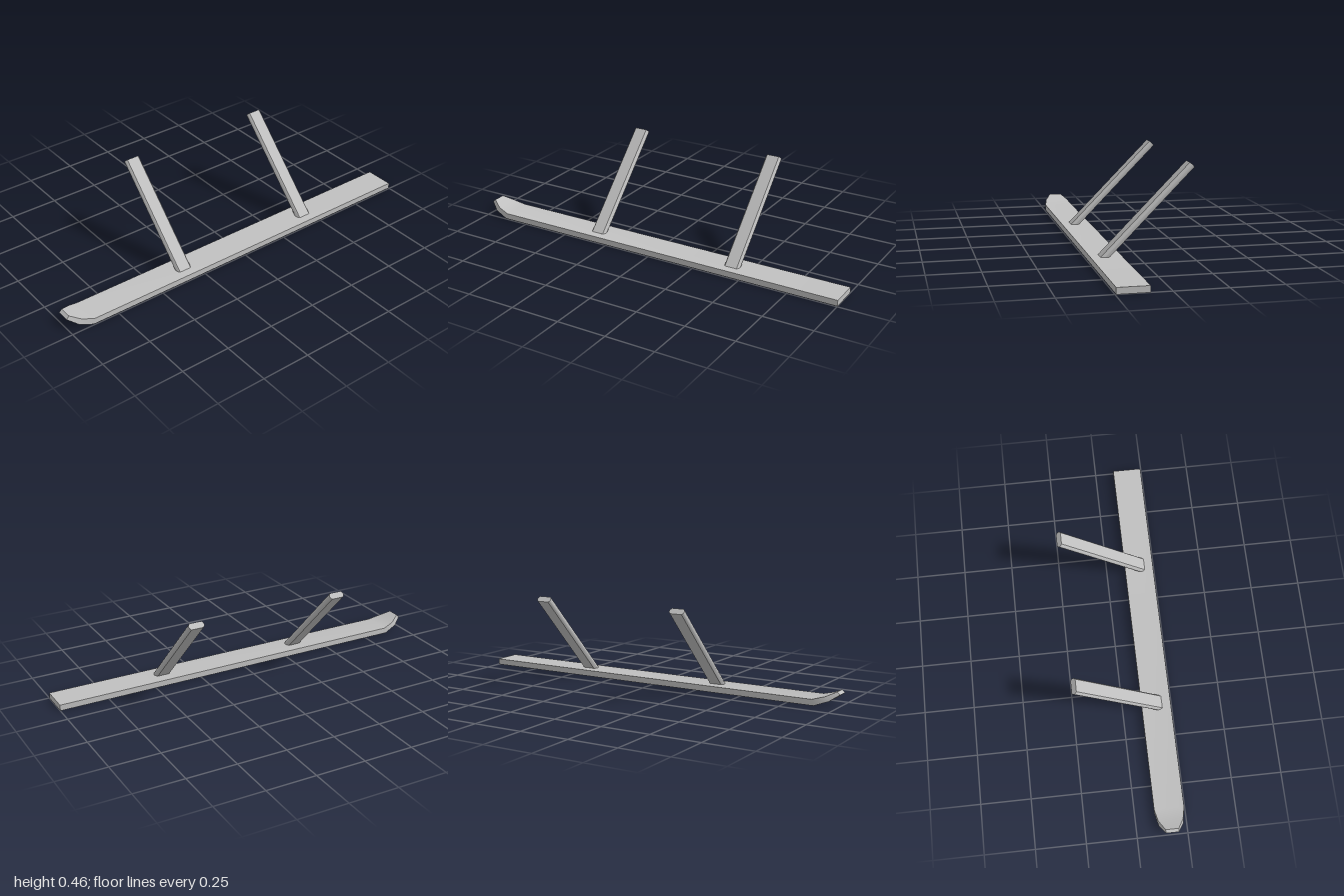
import * as THREE from 'three';
import { toCreasedNormals } from 'three/addons/utils/BufferGeometryUtils.js';

const SKI_X = 0.171;

// Runner: rectangular sections lofted from the tail to the upturned tip
function runnerGeometry() {
  // [half width, bottom y, bottom z, top y, top z]
  const sections = [
    [0.074, 0, -1, 0.03, -1],
    [0.074, 0, 0.885, 0.03, 0.875],
    [0.061, 0.026, 0.955, 0.047, 0.935],
    [0.032, 0.057, 1, 0.071, 0.985],
  ];
  const points = [];
  for (const [h, yb, zb, yt, zt] of sections) {
    points.push(-h, yb, zb, h, yb, zb, h, yt, zt, -h, yt, zt);
  }
  const index = [];
  const last = (sections.length - 1) * 4;
  for (let i = 0; i < last; i += 4) {
    for (let k = 0; k < 4; k++) {
      const n = (k + 1) % 4;
      index.push(i + k, i + n, i + 4 + n, i + k, i + 4 + n, i + 4 + k);
    }
  }
  index.push(0, 2, 1, 0, 3, 2); // tail end
  index.push(last, last + 1, last + 2, last, last + 2, last + 3); // tip end
  const geometry = new THREE.BufferGeometry();
  geometry.setAttribute('position', new THREE.Float32BufferAttribute(points, 3));
  geometry.setIndex(index);
  return toCreasedNormals(geometry, 0.65);
}

// Strut: flat bar with rounded narrow sides, leaning out of the runner
function strutGeometry() {
  const foot = new THREE.Vector3(0.189, 0.019, 0);
  const head = new THREE.Vector3(-0.2345, 0.448, 0);
  const w = 0.031, t = 0.016, bulge = 0.049;
  const shape = new THREE.Shape();
  shape.moveTo(-w, -t);
  shape.lineTo(w, -t);
  shape.quadraticCurveTo(bulge, 0, w, t);
  shape.lineTo(-w, t);
  shape.quadraticCurveTo(-bulge, 0, -w, -t);
  const along = head.clone().sub(foot);
  const geometry = new THREE.ExtrudeGeometry(shape, {
    depth: along.length(), bevelEnabled: false, curveSegments: 8,
  });
  along.normalize();
  const side = new THREE.Vector3(0, 0, 1);
  const up = along.clone().cross(side);
  geometry.applyMatrix4(new THREE.Matrix4().makeBasis(side, up, along).setPosition(foot));
  return toCreasedNormals(geometry, 0.6);
}

export function createModel() {
  const model = new THREE.Group();
  model.name = 'skid';
  const grey = new THREE.MeshStandardMaterial({ color: 0xc0c0c0 });
  grey.name = 'light grey';

  const runner = new THREE.Mesh(runnerGeometry(), grey);
  runner.name = 'runner';
  runner.position.x = SKI_X;
  model.add(runner);

  const strut = strutGeometry();
  for (const [name, z] of [['frontStrut', 0.332], ['rearStrut', -0.432]]) {
    const mesh = new THREE.Mesh(strut, grey);
    mesh.name = name;
    mesh.position.z = z;
    model.add(mesh);
  }
  return model;
}
